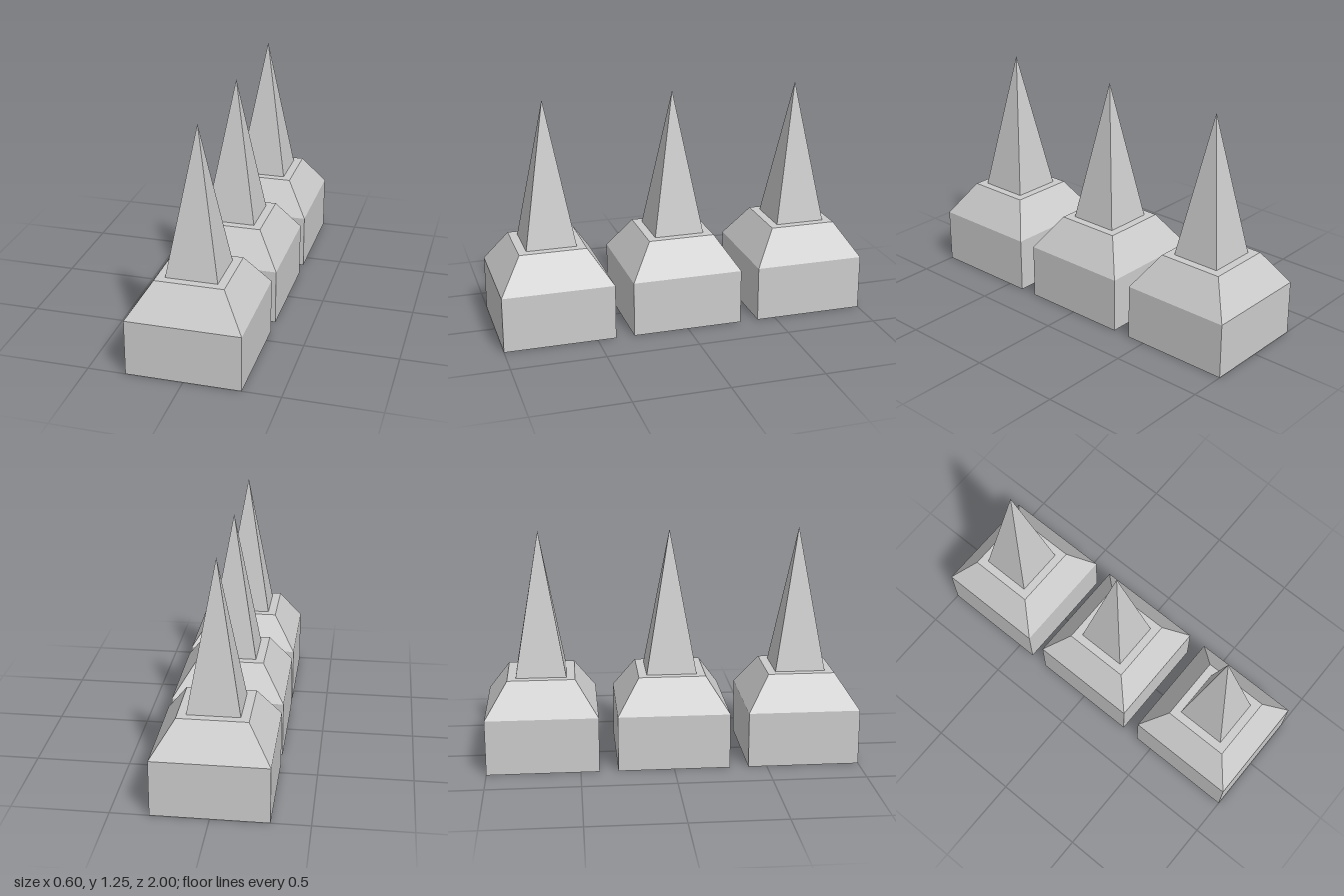
import * as THREE from 'three';

const material = new THREE.MeshStandardMaterial({
  color: 0xcccccc, flatShading: true, side: THREE.DoubleSide,
});

// Square shell from [half width, height] pairs, listed from bottom to top
function squareShell(name, profile) {
  const points = profile.map(([half, y]) => new THREE.Vector2(half * Math.SQRT2, y));
  const geometry = new THREE.LatheGeometry(points, 4, Math.PI / 4).toNonIndexed();
  geometry.computeVertexNormals();
  const mesh = new THREE.Mesh(geometry, material);
  mesh.name = name;
  return mesh;
}

function createSpike() {
  const spike = new THREE.Group();
  // Hollow base, open underneath: walls, sloped shoulder and flat ledge
  spike.add(squareShell('base', [[0.3, 0], [0.3, 0.3], [0.18, 0.48], [0.135, 0.48]]));
  // Four-sided spire rising from the ledge
  spike.add(squareShell('spire', [[0.135, 0.48], [0, 1.25]]));
  return spike;
}

export function createModel() {
  const model = new THREE.Group();
  model.name = 'spikeRow';
  // Three identical spikes in a row from back to front
  ['backSpike', 'middleSpike', 'frontSpike'].forEach((name, i) => {
    const spike = createSpike();
    spike.name = name;
    spike.position.z = (i - 1) * 0.7;
    model.add(spike);
  });
  return model;
}
